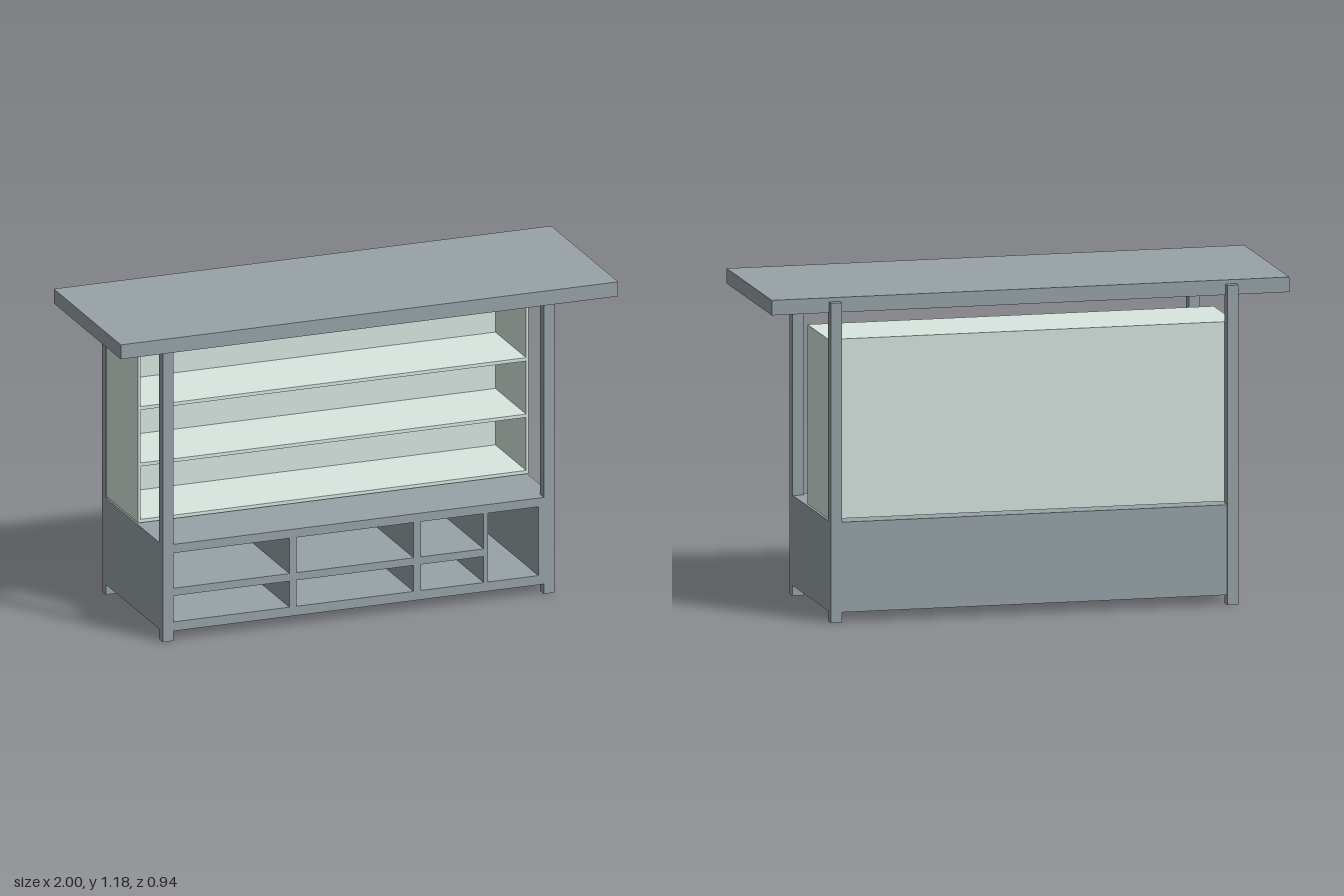
import * as THREE from 'three';

const grey = new THREE.MeshStandardMaterial({ color: 0x98a3a8 });
const pale = new THREE.MeshStandardMaterial({ color: 0xd9e7e1 });

// Axis-aligned box given by its min and max on each axis
function box(name, [x0, x1], [y0, y1], [z0, z1], material = grey) {
  const mesh = new THREE.Mesh(new THREE.BoxGeometry(x1 - x0, y1 - y0, z1 - z0), material);
  mesh.position.set((x0 + x1) / 2, (y0 + y1) / 2, (z0 + z1) / 2);
  mesh.name = name;
  return mesh;
}

// Rectangular path, used for the outline and for the openings
function rect(path, [x0, x1], [y0, y1]) {
  path.moveTo(x0, y0);
  path.lineTo(x1, y0);
  path.lineTo(x1, y1);
  path.lineTo(x0, y1);
  path.closePath();
  return path;
}

export function createModel() {
  const model = new THREE.Group();
  const stall = new THREE.Group();
  stall.name = 'marketStall';
  stall.rotation.y = -0.1457; // the stall stands slightly turned
  model.add(stall);

  // Overall footprint of the posts
  const X = [-0.764, 0.749], Z = [-0.363, 0.243], P = 0.041;

  // Flat roof slab
  stall.add(box('roof', [-0.961, 0.961], [1.13, 1.185], [-0.334, 0.331]));

  // Four corner posts; the back pair runs up behind the roof edge
  for (const x of [X[0], X[1] - P]) {
    stall.add(box('frontPost', [x, x + P], [0, 1.131], [Z[1] - P, Z[1]]));
    stall.add(box('backPost', [x, x + P], [0, 1.17], [Z[0], Z[0] + P]));
  }

  // Counter: a block with open compartments in its front, closed by a back
  const cx = [X[0] + 0.001, X[1] - 0.001], cy = [0.037, 0.367];
  const cz = [Z[0] + 0.001, Z[1] - 0.001], nicheBack = -0.26;
  const face = rect(new THREE.Shape(), cx, cy);
  const upper = [0.2, 0.334], lower = [0.072, 0.171];
  for (const column of [[-0.723, -0.275], [-0.248, 0.205], [0.233, 0.476]]) {
    for (const row of [upper, lower]) face.holes.push(rect(new THREE.Path(), column, row));
  }
  face.holes.push(rect(new THREE.Path(), [0.493, 0.687], [lower[0], upper[1]]));
  const counter = new THREE.Mesh(
    new THREE.ExtrudeGeometry(face, { depth: cz[1] - nicheBack, bevelEnabled: false }), grey);
  counter.position.z = nicheBack;
  counter.name = 'counter';
  stall.add(counter, box('counterBack', cx, cy, [cz[0], nicheBack]));

  // Pale display shelving on the back half of the counter
  const shelving = new THREE.Group();
  shelving.name = 'shelving';
  const sx = [-0.762, 0.747], sy = [0.373, 1.03], sz = [-0.322, -0.008], t = 0.01;
  shelving.add(box('leftPanel', [sx[0], sx[0] + t], sy, sz, pale));
  shelving.add(box('rightPanel', [sx[1] - t, sx[1]], sy, sz, pale));
  shelving.add(box('backPanel', [sx[0] + t, sx[1] - t], sy, [sz[0], sz[0] + t], pale));
  const board = 0.013, step = (sy[1] - sy[0] - board) / 3;
  for (let i = 0; i < 4; i++) {
    const y = sy[0] + i * step;
    shelving.add(box('shelf', [sx[0] + t, sx[1] - t], [y, y + board], [sz[0] + t, sz[1]], pale));
  }
  stall.add(shelving);
  return model;
}
